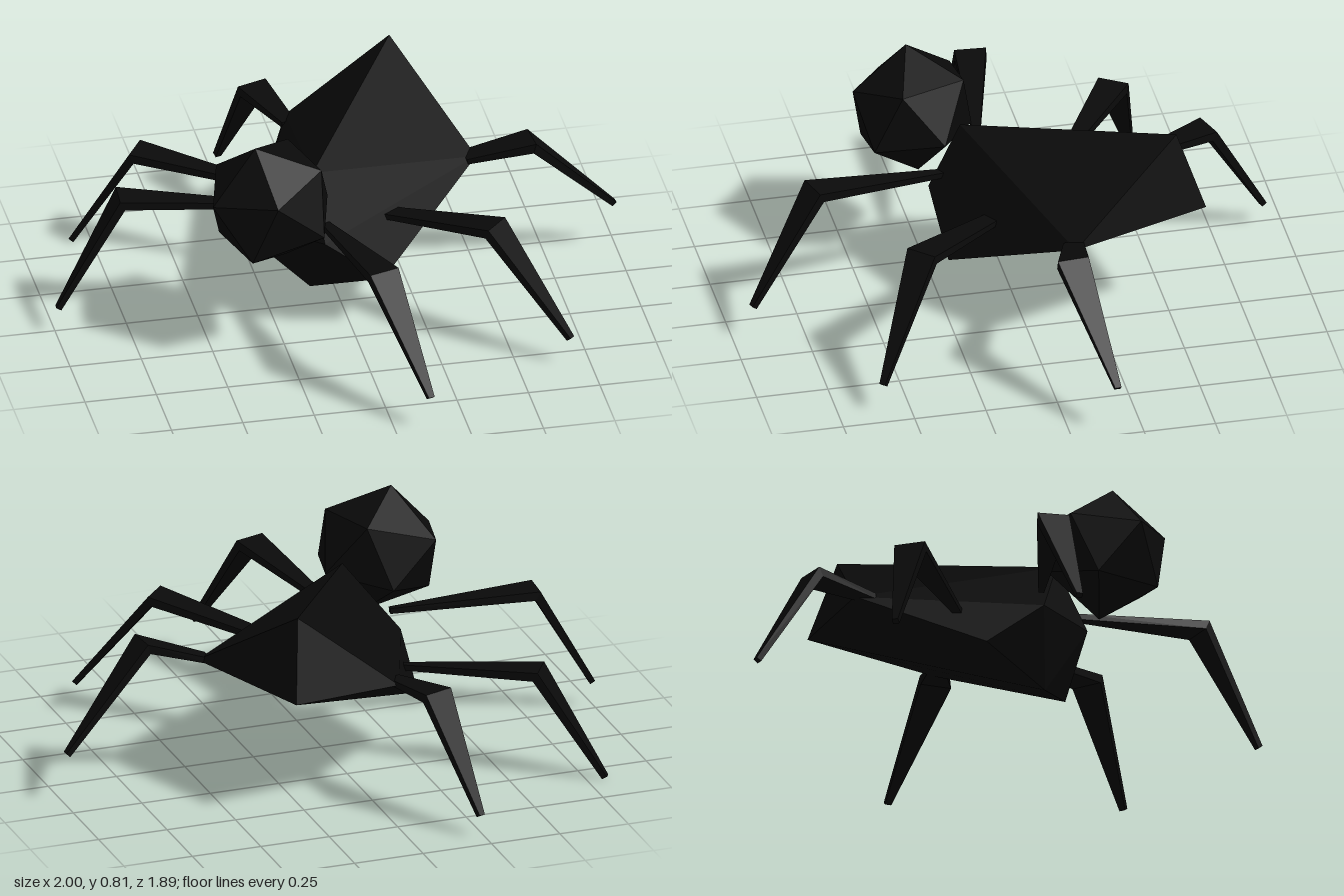
import * as THREE from 'three';
import { ConvexGeometry } from 'three/addons/geometries/ConvexGeometry.js';

const black = new THREE.MeshStandardMaterial({ color: 0x0a0a0a, flatShading: true });
const V = (x, y, z) => new THREE.Vector3(x, y, z);

function hull(name, points) {
  const mesh = new THREE.Mesh(new ConvexGeometry(points), black);
  mesh.name = name;
  return mesh;
}

// Flat two-segment leg: three rectangular sections at root, knee and tip
function leg(name, root, knee, tip, rootWidth) {
  const side = V(0, 1, 0).cross(tip.clone().sub(root)).normalize();
  const d1 = knee.clone().sub(root).normalize();
  const d2 = tip.clone().sub(knee).normalize();
  const sections = [
    { p: root, d: d1, w: rootWidth, h: 0.02 },
    { p: knee, d: d1.clone().add(d2).normalize(), w: 0.11, h: 0.036 },
    { p: tip, d: d2, w: 0.022, h: 0.02 },
  ];
  const pos = [];
  for (const { p, d, w, h } of sections) {
    const up = d.clone().cross(side).normalize();
    for (const [a, b] of [[-1, -1], [1, -1], [1, 1], [-1, 1]]) {
      const c = p.clone().addScaledVector(side, a * w / 2).addScaledVector(up, b * h / 2);
      pos.push(c.x, c.y, c.z);
    }
  }
  const index = [0, 2, 1, 0, 3, 2, 8, 9, 10, 8, 10, 11];
  for (let r = 0; r < 8; r += 4) {
    for (let i = 0; i < 4; i++) {
      const a = r + i, b = r + (i + 1) % 4;
      index.push(a, b, b + 4, a, b + 4, a + 4);
    }
  }
  const g = new THREE.BufferGeometry();
  g.setAttribute('position', new THREE.Float32BufferAttribute(pos, 3));
  g.setIndex(index);
  const flat = g.toNonIndexed();
  flat.computeVertexNormals();
  const mesh = new THREE.Mesh(flat, black);
  mesh.name = name;
  return mesh;
}

export function createModel() {
  const model = new THREE.Group();
  model.name = 'insect';

  // Faceted body, tapering from the raised rear to the neck
  model.add(hull('body', [
    V(0.28, 0.73, -0.52), V(-0.13, 0.61, 0.15),     // top ridge
    V(0.32, 0.45, -0.615), V(-0.13, 0.14, 0.11),    // rear point and belly point
    V(0.5, 0.45, -0.12), V(-0.08, 0.44, -0.55),     // rear sides
    V(0.10, 0.215, 0.24), V(-0.30, 0.22, -0.14),    // lower front sides
    V(-0.11, 0.39, 0.265), V(-0.31, 0.375, 0.06),   // neck sides
  ]));

  // Twenty-sided head: six corners and their opposites
  const corners = [
    V(-0.055, 0.22, 0.01), V(-0.215, 0.04, 0.07), V(0.165, 0.14, 0.068),
    V(-0.015, 0.08, 0.205), V(-0.155, 0.07, -0.165), V(0.095, 0.145, -0.16),
  ];
  const head = hull('head', corners.flatMap((c) => [c, c.clone().negate()]));
  head.position.set(-0.305, 0.592, 0.28);
  model.add(head);

  // Legs: name, root, knee, tip, width at the root
  const legs = [
    ['frontRightLeg', V(-0.27, 0.45, 0.06), V(-0.765, 0.485, -0.025), V(-0.99, 0.1, 0.01), 0.02],
    ['middleRightLeg', V(-0.2, 0.36, -0.21), V(-0.61, 0.39, -0.49), V(-0.815, 0.01, -0.595), 0.025],
    ['rearRightLeg', V(-0.08, 0.44, -0.49), V(-0.155, 0.46, -0.72), V(-0.235, 0.085, -0.935), 0.05],
    ['rearLeftLeg', V(0.46, 0.45, -0.12), V(0.68, 0.515, -0.07), V(0.99, 0.185, -0.16), 0.07],
    ['middleLeftLeg', V(0.15, 0.39, 0.1), V(0.455, 0.47, 0.41), V(0.68, 0.11, 0.595), 0.06],
    ['frontLeftLeg', V(-0.1, 0.44, 0.22), V(0.005, 0.495, 0.69), V(0.12, 0.13, 0.93), 0.03],
  ];
  for (const args of legs) model.add(leg(...args));

  return model;
}
